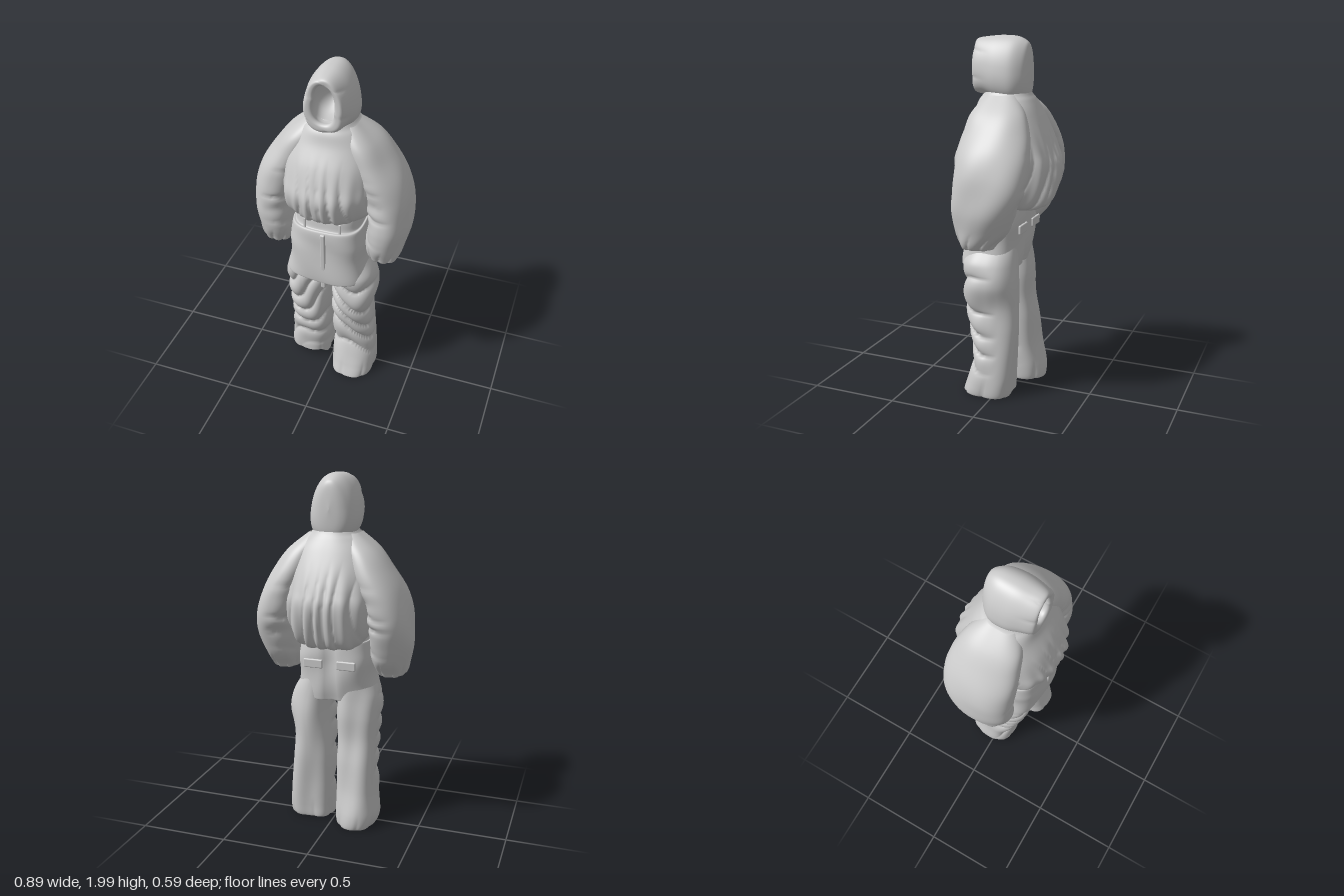
import * as THREE from 'three';
import { RoundedBoxGeometry } from 'three/addons/geometries/RoundedBoxGeometry.js';

const cloth = new THREE.MeshStandardMaterial({ color: 0xcccccc, side: THREE.DoubleSide });
const { smoothstep } = THREE.MathUtils;

// Puffy fabric: round bulges between sharp creases, about -0.6..0.4
const puff = (p) => Math.sqrt(Math.abs(Math.sin(p))) - 0.75;

// Catmull-Rom blend of section rows
function sample(rows, t) {
  const f = t * (rows.length - 1);
  const i = Math.min(Math.floor(f), rows.length - 2);
  const u = f - i;
  const at = (k) => rows[Math.max(0, Math.min(rows.length - 1, k))];
  return rows[i].map((_, c) => {
    const [a, b, d, e] = [at(i - 1)[c], at(i)[c], at(i + 1)[c], at(i + 2)[c]];
    return b + 0.5 * u * (d - a + u * (2 * a - 5 * b + 4 * d - e + u * (3 * (b - d) + e - a)));
  });
}

// Loft of superellipse rings. Row: [level, centre1, centre2, radius1, radius2].
// fold(v, dir, t) gives the outward push and may also move v.
function loft(name, rows, { axis = 'y', power = 2, around = 96, along = 72, fold }) {
  const pos = [], index = [];
  const v = new THREE.Vector3(), dir = new THREE.Vector3();
  const pw = (x) => Math.sign(x) * Math.abs(x) ** (2 / power);
  for (let j = 0; j <= along; j++) {
    const [level, c1, c2, r1, r2] = sample(rows, j / along);
    for (let i = 0; i < around; i++) {
      const a = (i / around) * Math.PI * 2;
      const c = pw(Math.cos(a)), s = pw(Math.sin(a));
      if (axis === 'y') {
        v.set(c1 + r1 * c, level, c2 - r2 * s);
        dir.set(Math.cos(a), 0, -Math.sin(a));
      } else {
        v.set(c1 + r1 * c, c2 + r2 * s, level);
        dir.set(Math.cos(a), Math.sin(a), 0);
      }
      if (fold) v.addScaledVector(dir, fold(v, dir, j / along));
      pos.push(v.x, v.y, v.z);
      if (j < along) {
        const p = j * around + i, q = j * around + ((i + 1) % around);
        index.push(p, p + around, q, q, p + around, q + around);
      }
    }
  }
  const g = new THREE.BufferGeometry();
  g.setAttribute('position', new THREE.Float32BufferAttribute(pos, 3));
  g.setIndex(index);
  g.computeVertexNormals();
  const mesh = new THREE.Mesh(g, cloth);
  mesh.name = name;
  return mesh;
}

function box(name, w, h, d, x, y, z, tilt = 0) {
  const mesh = new THREE.Mesh(new RoundedBoxGeometry(w, h, d, 3, d * 0.4), cloth);
  mesh.name = name;
  mesh.position.set(x, y, z);
  mesh.rotation.x = tilt;
  return mesh;
}

// Hood: from the inner lining, around the face rim, to the back of the head
function makeHood() {
  return loft('hood', [
    [-0.05, 0, 1.84, 0.02, 0.05], [0.04, 0, 1.84, 0.075, 0.11], [0.12, 0, 1.84, 0.068, 0.115],
    [0.16, 0, 1.84, 0.058, 0.108], [0.174, 0, 1.84, 0.075, 0.125], [0.165, 0, 1.835, 0.1, 0.148],
    [0.1, 0, 1.835, 0.12, 0.158], [0.03, 0, 1.825, 0.13, 0.174], [-0.05, 0, 1.815, 0.122, 0.18],
    [-0.1, 0, 1.815, 0.092, 0.16], [-0.125, 0, 1.82, 0.055, 0.12], [-0.135, 0, 1.82, 0.003, 0.01],
  ], {
    axis: 'z', power: 2.3,
    fold: (v, d, t) => {
      v.x *= 1 - 0.2 * (v.y - 1.84) / 0.16;
      const rim = smoothstep(t, 0.2, 0.35) * (1 - smoothstep(t, 0.4, 0.6));
      return rim * 0.012 * puff(v.y * 24 + v.x * 12);
    },
  });
}

// Jacket body: bloused, gathered into a hem that hangs lower at the back
function makeJacket() {
  return loft('jacketBody', [
    [1.73, 0, 0, 0.105, 0.11], [1.69, 0, 0, 0.13, 0.13], [1.66, 0, 0, 0.165, 0.15],
    [1.6, 0, -0.005, 0.215, 0.178], [1.5, 0, 0, 0.25, 0.23], [1.4, 0, 0, 0.265, 0.268],
    [1.32, 0, 0, 0.27, 0.288], [1.23, 0, 0, 0.255, 0.27], [1.18, 0, 0.005, 0.225, 0.235],
    [1.175, 0, 0.02, 0.185, 0.175], [1.2, 0, 0.03, 0.16, 0.14],
  ], {
    power: 2.3, around: 220, along: 80,
    fold: (v, d, t) => {
      const gather = 1 - smoothstep(v.y, 1.2, 1.58);
      const p = v.x * 42 + 0.9 * Math.sin(v.y * 9 + v.x * 7) + Math.sin(v.x * 19) + (d.z < 0 ? 1.3 : 0);
      v.y -= 0.1 * smoothstep(-d.z, -0.2, 0.9) * smoothstep(t, 0.55, 0.9);
      return gather * Math.abs(d.z) * (0.026 * puff(p) + 0.006 * Math.sin(v.x * 90));
    },
  });
}

// Balloon sleeve with a gathered cuff turned inside
function makeSleeve(side) {
  return loft(side > 0 ? 'leftSleeve' : 'rightSleeve', [
    [1.69, 0.09, 0, 0.05, 0.08], [1.6, 0.16, -0.01, 0.088, 0.15], [1.5, 0.212, -0.02, 0.112, 0.185],
    [1.4, 0.265, -0.02, 0.122, 0.2], [1.3, 0.3, -0.02, 0.125, 0.198], [1.2, 0.325, -0.015, 0.115, 0.19],
    [1.1, 0.325, 0.005, 0.115, 0.178], [1, 0.312, 0.025, 0.105, 0.152], [0.93, 0.31, 0.045, 0.088, 0.105],
    [0.9, 0.31, 0.05, 0.065, 0.08], [0.93, 0.31, 0.05, 0.04, 0.05],
  ].map(([y, x, ...r]) => [y, side * x, ...r]), {
    power: 2.2,
    fold: (v, d) => {
      const inner = smoothstep(-d.x * side, -0.5, 0.8);
      const elbow = smoothstep(v.y, 0.98, 1.15) * (1 - smoothstep(v.y, 1.3, 1.5));
      const cuff = 1 - smoothstep(v.y, 0.9, 1.02);
      return inner * elbow * 0.026 * puff(v.y * 22 + v.z * 13 * side + Math.sin(v.y * 31))
        + cuff * 0.014 * puff(Math.atan2(d.z, d.x) * 4.5 + v.y * 9)
        + 0.004 * Math.sin(v.y * 14 + d.z * 4);
    },
  });
}

// Seat of the trousers, ending in a loose flared hem over the legs
function makeSeat() {
  return loft('trouserSeat', [
    [1.24, 0, 0.03, 0.165, 0.14], [1.16, 0, 0.035, 0.18, 0.155], [1.1, 0, 0.04, 0.185, 0.16],
    [1.09, 0, 0.05, 0.2, 0.172], [1, 0, 0.05, 0.21, 0.178], [0.9, 0, 0.055, 0.215, 0.175],
    [0.78, 0, 0.065, 0.235, 0.168], [0.75, 0, 0.065, 0.23, 0.16], [0.77, 0, 0.06, 0.2, 0.13],
  ], {
    power: 3,
    fold: (v, d) => 0.006 * Math.sin(v.y * 17 + v.x * 16) * (1 - smoothstep(v.y, 0.95, 1.08))
      - 0.02 * Math.exp(-((v.x / 0.03) ** 2)) * (d.z < 0 ? 1 : 0),
  });
}

// Baggy leg: diagonal bunched folds in front, smoother behind, one hem forward of the other
function makeLeg(side) {
  const rows = side > 0 ? [
    [0.87, 0.11, 0.035, 0.095, 0.125], [0.77, 0.14, 0.045, 0.12, 0.145], [0.66, 0.153, 0.04, 0.127, 0.15],
    [0.52, 0.138, 0.035, 0.115, 0.148], [0.38, 0.138, 0.02, 0.118, 0.135], [0.22, 0.145, 0.015, 0.122, 0.12],
    [0.08, 0.15, 0.04, 0.128, 0.135], [0.006, 0.148, 0.055, 0.122, 0.142], [0.03, 0.148, 0.055, 0.1, 0.12],
  ] : [
    [0.87, -0.11, 0.035, 0.095, 0.125], [0.77, -0.125, 0.045, 0.118, 0.145], [0.66, -0.128, 0.04, 0.118, 0.15],
    [0.52, -0.13, 0.03, 0.108, 0.14], [0.38, -0.13, 0.005, 0.108, 0.135], [0.22, -0.137, -0.02, 0.115, 0.125],
    [0.08, -0.145, -0.035, 0.126, 0.138], [0.006, -0.137, -0.035, 0.112, 0.135], [0.03, -0.137, -0.03, 0.09, 0.11],
  ];
  return loft(side > 0 ? 'leftLeg' : 'rightLeg', rows, {
    power: 2.5, around: 110, along: 100,
    fold: (v, d, t) => {
      const front = smoothstep(d.z, -0.4, 0.5);
      const bunch = smoothstep(v.y, 0.04, 0.3) * (1 - smoothstep(v.y, 0.76, 0.86));
      const p = v.y * 23 + side * v.x * 13 + 1.2 * Math.sin(v.x * 17 + v.y * 8);
      const hem = 1 - smoothstep(v.y, 0, 0.14);
      if (side < 0) v.y += 0.06 * smoothstep(d.z, 0.3, 1) * smoothstep(t, 0.75, 0.9);
      return front * bunch * 0.034 * puff(p)
        + (1 - front) * 0.008 * Math.sin(v.x * 32 + v.y * 5)
        + hem * 0.01 * puff(Math.atan2(d.z, d.x) * 3.5);
    },
  });
}

export function createModel() {
  const model = new THREE.Group();
  model.name = 'hoodedOutfit';
  model.add(makeHood(), makeJacket(), makeSeat());
  for (const side of [1, -1]) {
    model.add(makeSleeve(side), makeLeg(side));
    // Back pocket flaps
    model.add(box('backPocketFlap', 0.11, 0.05, 0.016, side * 0.095, 0.97, -0.126, -0.03));
  }
  // Front fly and belt loops
  model.add(box('frontFly', 0.028, 0.38, 0.02, 0.015, 0.905, 0.228, 0.03));
  for (const x of [-0.1, 0.1]) model.add(box('beltLoop', 0.014, 0.07, 0.01, x, 1.12, 0.195));
  return model;
}
